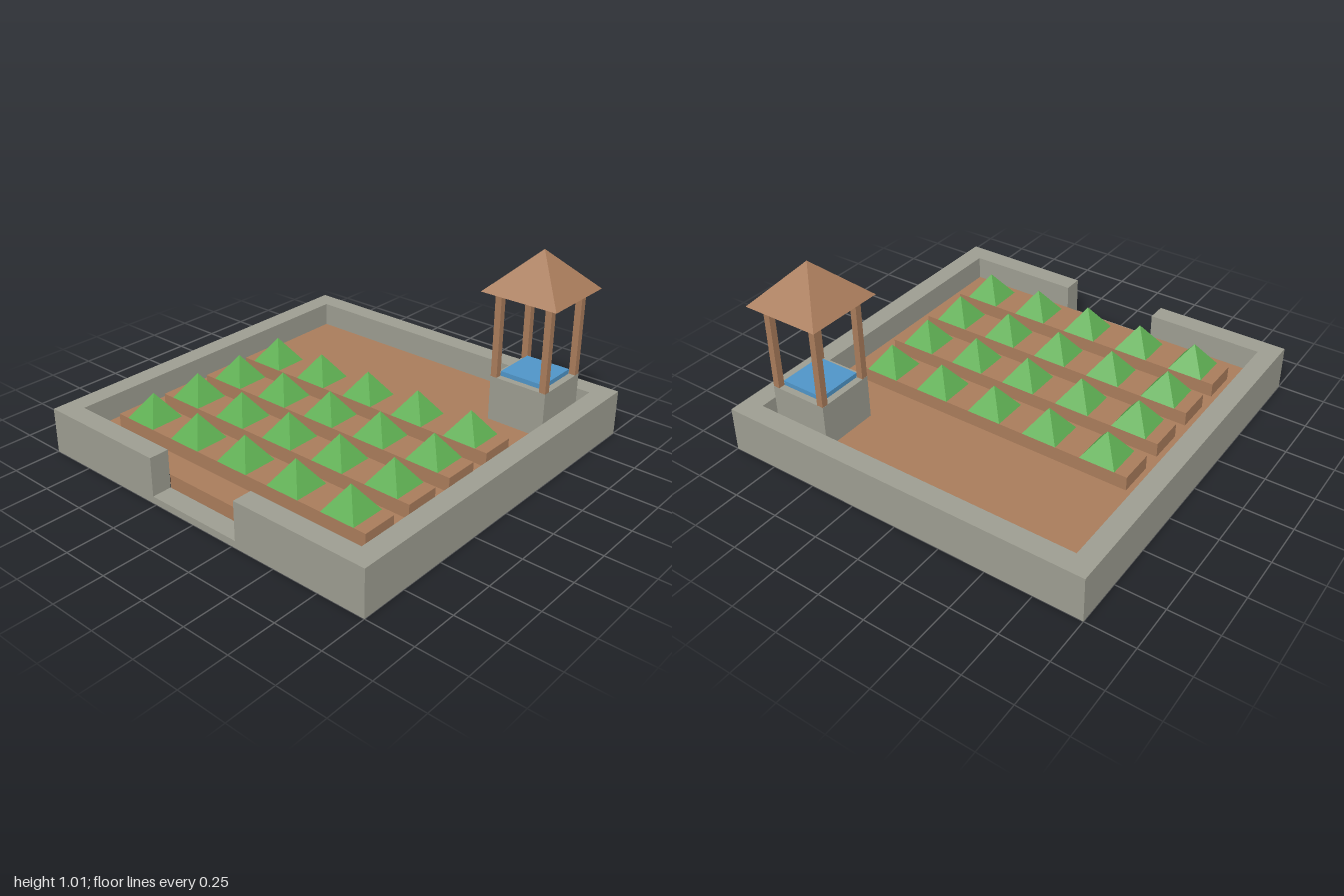
import * as THREE from 'three';

const paint = (name, color) => {
  const m = new THREE.MeshStandardMaterial({ color, flatShading: true, side: THREE.DoubleSide });
  m.name = name;
  return m;
};

export function createModel() {
  const stone = paint('stone', 0x9d9d91);
  const brown = paint('brown', 0xa97c5b);
  const leaf = paint('leafGreen', 0x5fb053);
  const blue = paint('waterBlue', 0x4f95c8);

  const add = (parent, name, geometry, material) => {
    const mesh = new THREE.Mesh(geometry, material);
    mesh.name = name;
    parent.add(mesh);
    return mesh;
  };

  // Box given by its extents, left open underneath
  const block = (parent, name, material, x0, x1, y0, y1, z0, z1) => {
    const g = new THREE.BoxGeometry(x1 - x0, y1 - y0, z1 - z0);
    g.translate((x0 + x1) / 2, (y0 + y1) / 2, (z0 + z1) / 2);
    const index = Array.from(g.index.array);
    index.splice(18, 6);
    g.setIndex(index);
    g.clearGroups();
    return add(parent, name, g, material);
  };

  // Square pyramid with its base centred at x, y, z
  const pyramid = (parent, name, material, half, height, x, y, z, open) => {
    const g = new THREE.ConeGeometry(half * Math.SQRT2, height, 4, 1, open);
    g.rotateY(Math.PI / 4);
    g.translate(x, y + height / 2, z);
    return add(parent, name, g, material);
  };

  const part = (name) => {
    const g = new THREE.Group();
    g.name = name;
    model.add(g);
    return g;
  };

  const model = new THREE.Group();
  model.name = 'walledGarden';

  // Perimeter walls with a gap at the front
  const inner = 0.895, wallTop = 0.24, gap = 0.27, soil = 0.11;
  const walls = part('walls');
  block(walls, 'backWall', stone, -1, 1, 0, wallTop, -1, -inner);
  block(walls, 'leftWall', stone, inner, 1, 0, wallTop, -1, 1);
  block(walls, 'rightWall', stone, -1, -inner, 0, wallTop, -1, 1);
  block(walls, 'frontWallLeft', stone, gap, 1, 0, wallTop, inner, 1);
  block(walls, 'frontWallRight', stone, -1, -gap, 0, wallTop, inner, 1);
  block(walls, 'threshold', stone, -gap, gap, 0, 0.037, inner, 1);

  // Soil surface and its exposed edge in the gap
  const ground = part('ground');
  const top = new THREE.PlaneGeometry(2 * inner, 2 * inner);
  top.rotateX(-Math.PI / 2);
  top.translate(0, soil, 0);
  add(ground, 'soil', top, brown);
  const edge = new THREE.PlaneGeometry(2 * gap, soil);
  edge.translate(0, soil / 2, inner - 0.002);
  add(ground, 'soilEdge', edge, brown);

  // Four raised beds with five bushes each
  const beds = part('plantBeds');
  const half = 0.094, bedTop = 0.185;
  for (let row = 0; row < 4; row++) {
    const z = -0.215 + row * 0.2925;
    block(beds, 'bed', brown, -0.8, 0.8, soil, bedTop, z - half, z + half);
    for (let i = -2; i <= 2; i++) {
      pyramid(beds, 'bush', leaf, half, 0.135, i * 0.32, bedTop, z, true);
    }
  }

  // Well with a roof on four posts
  const well = part('well');
  const c = 0.69, wellTop = 0.35, eaves = 0.805;
  block(well, 'wellBase', stone, c - 0.158, c + 0.158, soil, wellTop, -c - 0.158, -c + 0.158);
  block(well, 'water', blue, c - 0.122, c + 0.122, wellTop, 0.375, -c - 0.122, -c + 0.122);
  for (const sx of [-1, 1]) {
    for (const sz of [-1, 1]) {
      const x = c + sx * 0.14, z = -c + sz * 0.14, r = 0.0175;
      block(well, 'post', brown, x - r, x + r, wellTop, eaves, z - r, z + r);
    }
  }
  pyramid(well, 'roof', brown, 0.21, 0.21, c, eaves, -c, false);

  return model;
}
